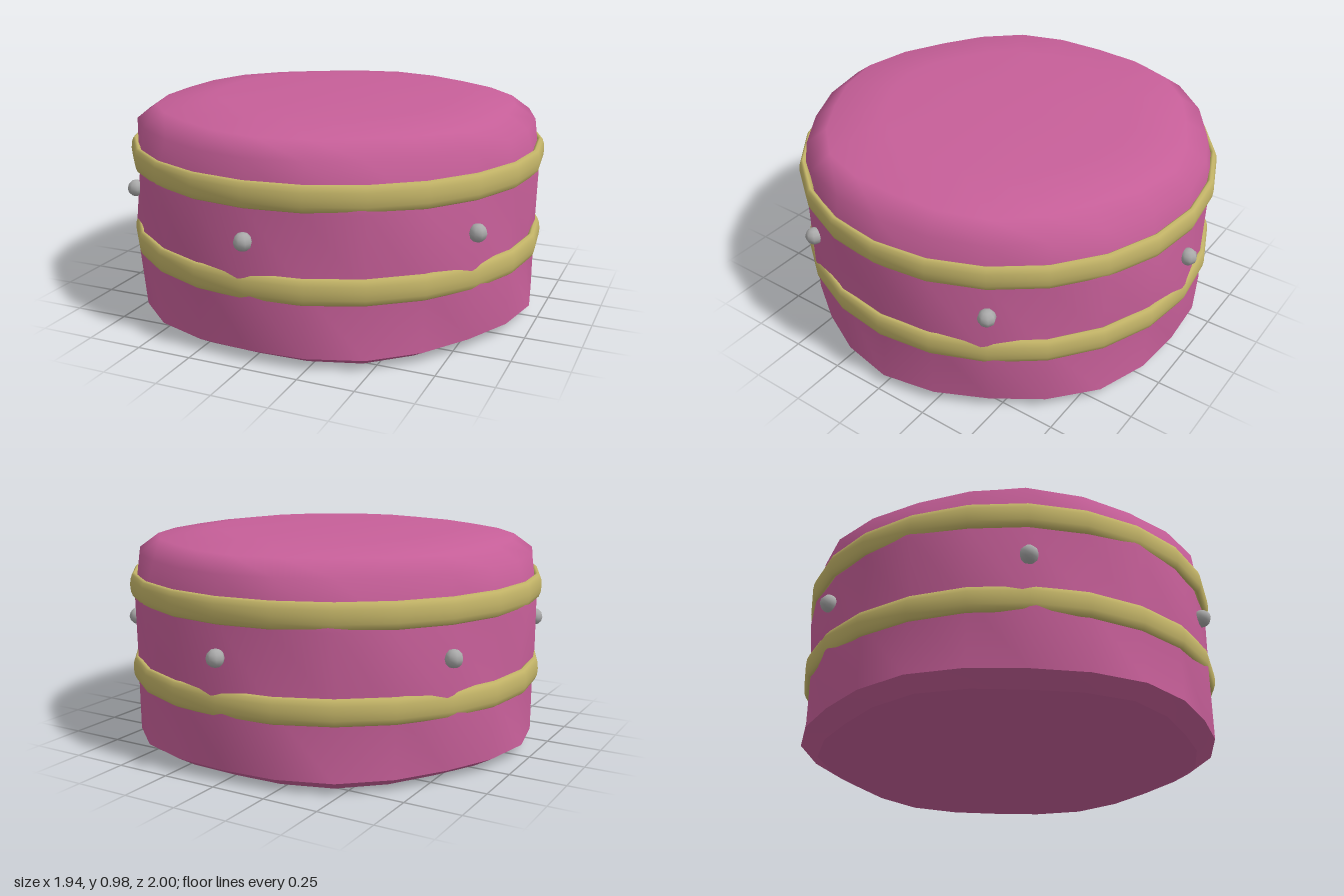
import * as THREE from 'three';
import { mergeVertices } from 'three/addons/utils/BufferGeometryUtils.js';

const SIDES = 24;

// Revolves rows of [y, radius, ripple]; the ripple pushes six evenly spaced points in or out.
function rippledLathe(rows) {
  const geo = new THREE.LatheGeometry(rows.map(([y, r]) => new THREE.Vector2(r, y)), SIDES);
  const pos = geo.attributes.position;
  for (let i = 0; i < pos.count; i++) {
    const [, r, ripple] = rows[i % rows.length];
    const angle = (Math.floor(i / rows.length) / SIDES) * Math.PI * 2;
    const radius = r + ripple * Math.cos(6 * angle);
    pos.setXYZ(i, Math.sin(angle) * radius, pos.getY(i), Math.cos(angle) * radius);
  }
  // weld the seam so the shading stays smooth all round
  geo.deleteAttribute('uv');
  geo.deleteAttribute('normal');
  const welded = mergeVertices(geo);
  welded.computeVertexNormals();
  return welded;
}

export function createModel() {
  const group = new THREE.Group();
  const pink = new THREE.MeshStandardMaterial({ color: 0xc75f99 });
  pink.name = 'pink';
  const gold = new THREE.MeshStandardMaterial({ color: 0xc4b568 });
  gold.name = 'gold';
  const grey = new THREE.MeshStandardMaterial({ color: 0xa9a9a9 });
  grey.name = 'grey';

  const add = (name, geo, material) => {
    const mesh = new THREE.Mesh(geo, material);
    mesh.name = name;
    group.add(mesh);
    return mesh;
  };

  // Side wall with alternating bulges, rounding over into the flat top
  add('body', rippledLathe([
    [0.05, 0.945, -0.015],
    [0.34, 0.945, 0.0225],
    [0.67, 0.95, -0.017],
    [0.875, 0.9225, 0.0125],
    [0.94, 0.828, 0.0175],
    [0.975, 0.567, 0.008],
    [0.975, 0, 0],
  ]), pink);

  // Bevelled lower edge and flat underside, kept apart for a crisp edge
  add('lowerBevel', rippledLathe([[0, 0.86, -0.02], [0.05, 0.945, -0.015]]), pink);
  add('underside', rippledLathe([[0, 0, 0], [0, 0.86, -0.02]]), pink);

  // Two flattened hoops around the wall
  const hoopRows = [];
  for (let i = 0; i <= 12; i++) {
    const t = -Math.PI + (i / 12) * Math.PI * 2;
    hoopRows.push([0.058 * Math.sin(t), 0.949 + 0.021 * Math.cos(t), 0]);
  }
  const hoopGeo = rippledLathe(hoopRows);
  add('lowerHoop', hoopGeo, gold).position.y = 0.343;
  add('upperHoop', hoopGeo, gold).position.y = 0.732;

  // Six round studs between the hoops
  const studGeo = new THREE.SphereGeometry(0.04, 8, 6);
  for (let i = 0; i < 6; i++) {
    const angle = (i / 6) * Math.PI * 2;
    add('stud', studGeo, grey).position.set(Math.sin(angle) * 0.96, 0.537, Math.cos(angle) * 0.96);
  }

  return group;
}
